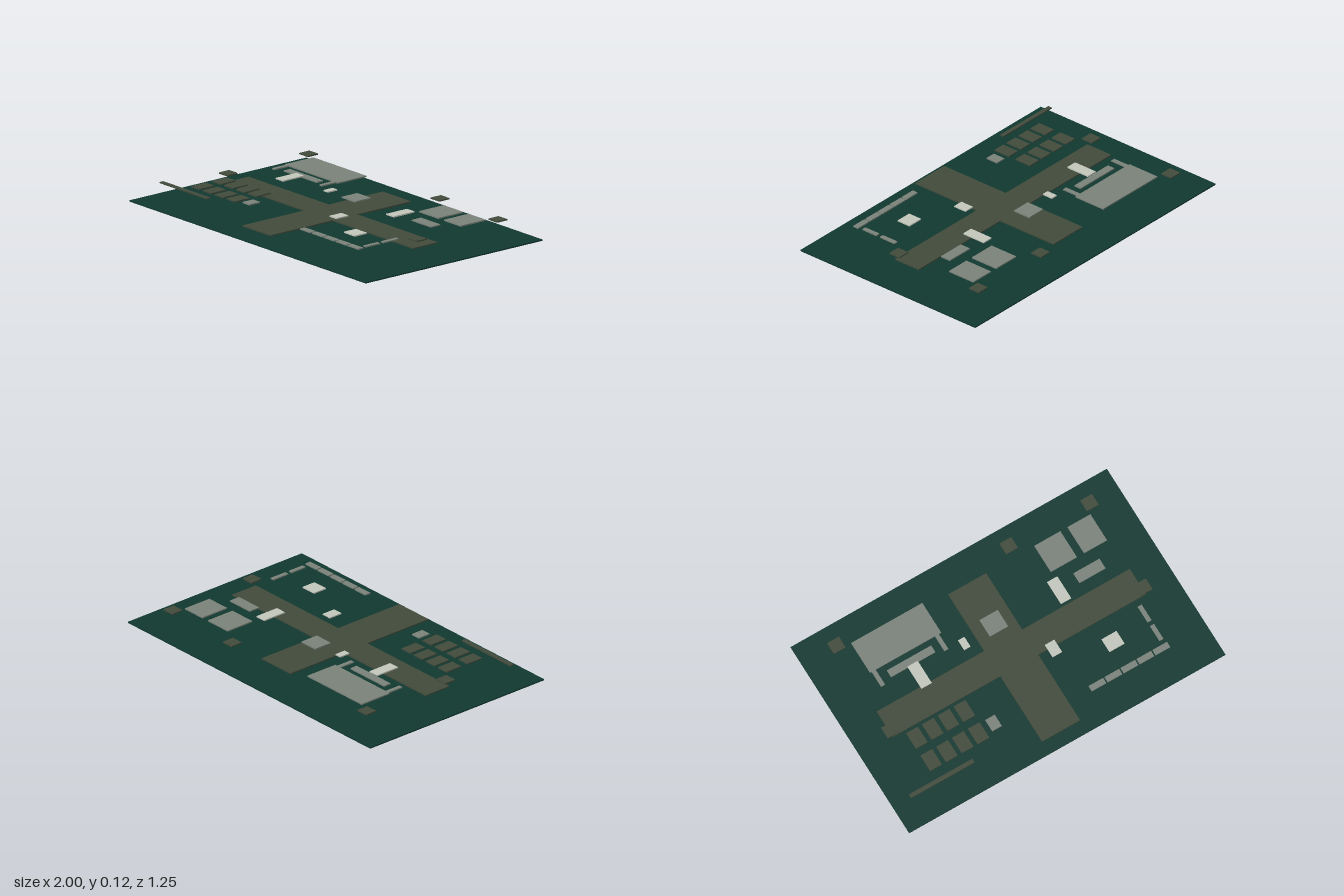
import * as THREE from 'three';

const mat = (name, color) => {
  const m = new THREE.MeshStandardMaterial({ color });
  m.name = name;
  return m;
};

export function createModel() {
  const model = new THREE.Group();
  model.name = 'layeredSitePlan';
  const green = mat('deepGreen', 0x10382f);
  const olive = mat('olive', 0x414a3b);
  const grey = mat('stoneGrey', 0x7a827a);
  const pale = mat('paleStone', 0xc2c6bb);
  const T = 0.007; // plate thickness
  const PATH = 0.05, BLOCK = 0.1, RAISED = 0.11; // layer heights

  // flat plate spanning x0..x1 and z0..z1, resting on height y
  const plate = (name, material, y, x0, x1, z0, z1) => {
    const mesh = new THREE.Mesh(new THREE.BoxGeometry(x1 - x0, T, z1 - z0), material);
    mesh.position.set((x0 + x1) / 2, y + T / 2, (z0 + z1) / 2);
    mesh.name = name;
    model.add(mesh);
  };

  // ground sheet
  plate('ground', green, 0, -1, 1, -0.625, 0.625);

  // crossing paths as one cross-shaped plate
  const cross = new THREE.Shape([
    [-0.12, -0.43], [0.12, -0.43], [0.12, -0.05], [0.8, -0.05], [0.8, 0.12], [0.12, 0.12],
    [0.12, 0.56], [-0.12, 0.56], [-0.12, 0.12], [-0.8, 0.12], [-0.8, -0.05], [-0.12, -0.05],
  ].map(([x, z]) => new THREE.Vector2(x, -z)));
  const paths = new THREE.Mesh(
    new THREE.ExtrudeGeometry(cross, { depth: T, bevelEnabled: false }).rotateX(-Math.PI / 2), olive);
  paths.position.y = PATH;
  paths.name = 'crossPaths';
  model.add(paths);

  // small corner markers
  for (const [x, z] of [[-0.8, -0.475], [0.8, -0.475], [0.297, -0.487], [-0.8, 0.093], [0.8, 0.093]])
    plate('marker', olive, BLOCK, x - 0.037, x + 0.037, z - 0.036, z + 0.036);

  // two rows of plots and the long strip beside them
  for (const z of [0.207, 0.357])
    for (let i = 0; i < 4; i++) {
      const x = -0.7 + i * 0.1;
      plate('plot', olive, BLOCK, x - 0.037, x + 0.037, z - 0.052, z + 0.052);
    }
  plate('longStrip', olive, BLOCK, -0.905, -0.505, 0.465, 0.49);
  plate('plotHut', grey, BLOCK, -0.33, -0.27, 0.31, 0.385);

  // main hall with two wings and a forecourt
  plate('hall', grey, BLOCK, -0.725, -0.275, -0.445, -0.245);
  plate('hallWing', grey, BLOCK, -0.715, -0.69, -0.245, -0.145);
  plate('hallWing', grey, BLOCK, -0.315, -0.29, -0.245, -0.145);
  plate('forecourt', grey, BLOCK, -0.64, -0.36, -0.21, -0.165);

  // central block and the right-hand blocks
  plate('centreBlock', grey, BLOCK, -0.06, 0.055, -0.2, -0.09);
  plate('pairedBlock', grey, BLOCK, 0.415, 0.58, -0.415, -0.24);
  plate('pairedBlock', grey, BLOCK, 0.625, 0.77, -0.415, -0.24);
  plate('lowBlock', grey, BLOCK, 0.515, 0.68, -0.17, -0.105);

  // row of units along the front and two at the side
  for (let i = 0; i < 5; i++) {
    const x = 0.297 + i * 0.101;
    plate('rowUnit', grey, BLOCK, x - 0.046, x + 0.046, 0.43, 0.465);
  }
  plate('sideUnit', grey, BLOCK, 0.715, 0.74, 0.175, 0.28);
  plate('sideUnit', grey, BLOCK, 0.715, 0.74, 0.305, 0.405);

  // pale pads
  plate('pad', pale, BLOCK, -0.22, -0.18, -0.16, -0.095);
  plate('pad', pale, BLOCK, 0.17, 0.23, 0.105, 0.187);
  plate('pad', pale, BLOCK, 0.45, 0.545, 0.235, 0.32);
  plate('raisedPad', pale, RAISED, -0.535, -0.47, -0.168, -0.02);
  plate('raisedPad', pale, RAISED, 0.365, 0.43, -0.197, -0.05);

  return model;
}
